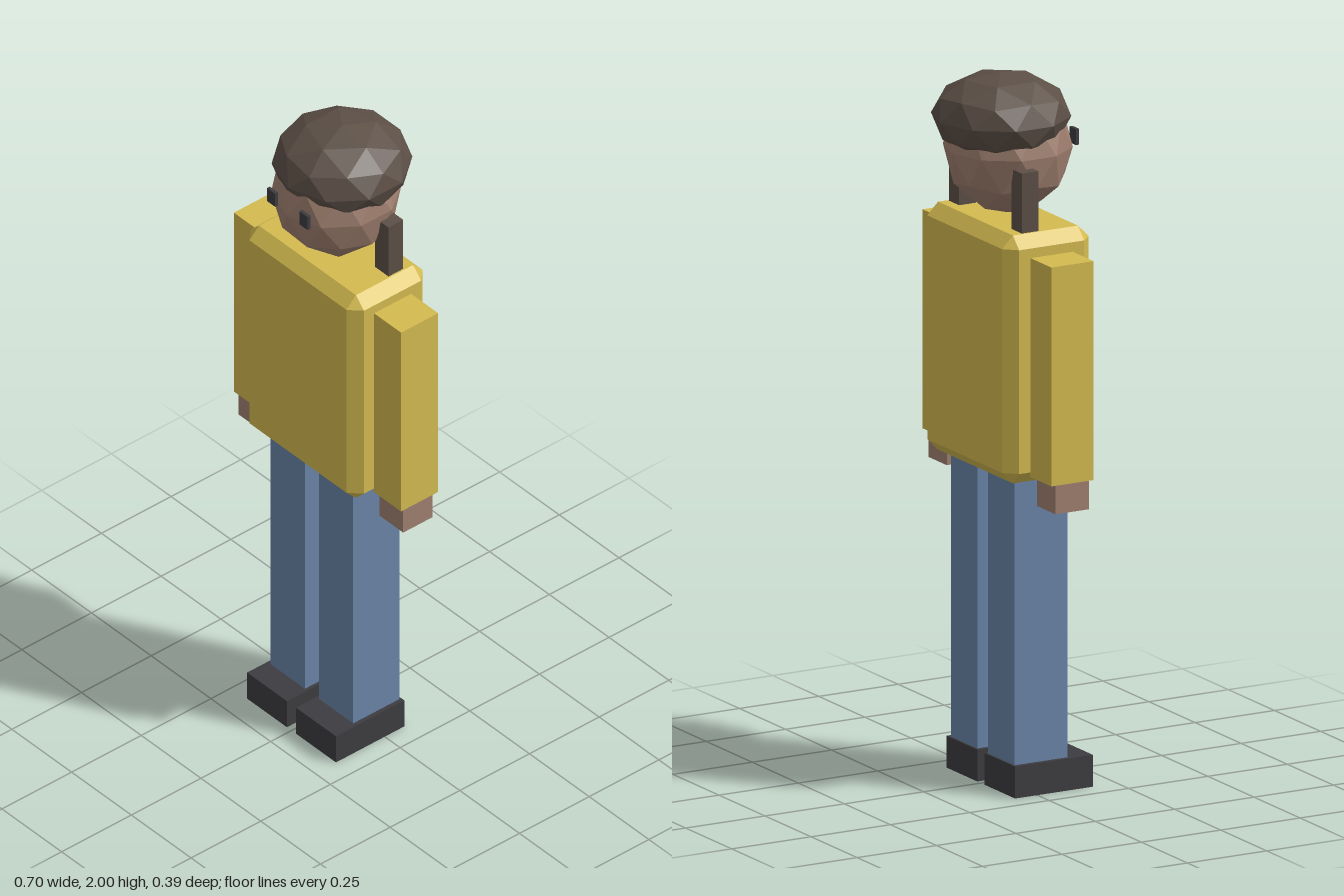
import * as THREE from 'three';
import { ConvexGeometry } from 'three/addons/geometries/ConvexGeometry.js';

const mat = (name, color) => {
  const m = new THREE.MeshStandardMaterial({ color });
  m.name = name;
  return m;
};

// Box given by its limits on each axis
function boxGeo([x0, x1], [y0, y1], [z0, z1]) {
  return new THREE.BoxGeometry(x1 - x0, y1 - y0, z1 - z0)
    .translate((x0 + x1) / 2, (y0 + y1) / 2, (z0 + z1) / 2);
}

// Box with every edge cut off by c
function chamferedBox(w, h, d, c) {
  const points = [];
  for (const sx of [-1, 1]) for (const sy of [-1, 1]) for (const sz of [-1, 1]) {
    for (let axis = 0; axis < 3; axis++) {
      const inset = [0, 1, 2].map(i => (i === axis ? 0 : c));
      points.push(new THREE.Vector3(
        sx * (w / 2 - inset[0]), sy * (h / 2 - inset[1]), sz * (d / 2 - inset[2])));
    }
  }
  return new ConvexGeometry(points);
}

// Faceted ball with one corner at the pole
function facetedBall(rx, ry, rz) {
  const g = new THREE.IcosahedronGeometry(1, 1);
  g.rotateZ(-Math.atan2(1, (1 + Math.sqrt(5)) / 2));
  g.scale(rx, ry, rz);
  g.computeVertexNormals();
  return g;
}

export function createModel() {
  const model = new THREE.Group();
  model.name = 'figure';

  const yellow = mat('yellow sweater', 0xd4bb50);
  const denim = mat('blue denim', 0x6a85a8);
  const skin = mat('skin', 0xa08070);
  const brown = mat('brown hair', 0x5c4f46);
  const dark = mat('dark shoe', 0x3d3c40);

  const add = (name, geometry, material, position = [0, 0, 0]) => {
    const mesh = new THREE.Mesh(geometry, material);
    mesh.name = name;
    mesh.position.set(...position);
    model.add(mesh);
  };

  // Torso and head
  add('torso', chamferedBox(0.474, 0.7, 0.273, 0.034), yellow, [0, 1.246, 0.0155]);
  add('head', facetedBall(0.178, 0.19, 0.178), skin, [0, 1.79, 0.015]);
  add('hairCap', facetedBall(0.193, 0.12, 0.192), brown, [0, 1.88, -0.006]);

  // Paired parts: limits on x (outward), y and z
  const pairs = [
    ['Eye', [0.051, 0.085], [1.787, 1.832], [0.18, 0.19], dark],
    ['HairLock', [0.142, 0.198], [1.53, 1.765], [-0.056, -0.003], brown],
    ['Arm', [0.235, 0.35], [0.917, 1.535], [-0.051, 0.082], yellow],
    ['Hand', [0.245, 0.345], [0.835, 0.93], [-0.035, 0.07], skin],
    ['Leg', [0.029, 0.173], [0.02, 0.91], [-0.064, 0.102], denim],
    ['Shoe', [0.019, 0.186], [0, 0.09], [-0.07, 0.175], dark],
  ];
  for (const [name, x, y, z, material] of pairs) {
    add('left' + name, boxGeo(x, y, z), material);
    add('right' + name, boxGeo([-x[1], -x[0]], y, z), material);
  }
  return model;
}
